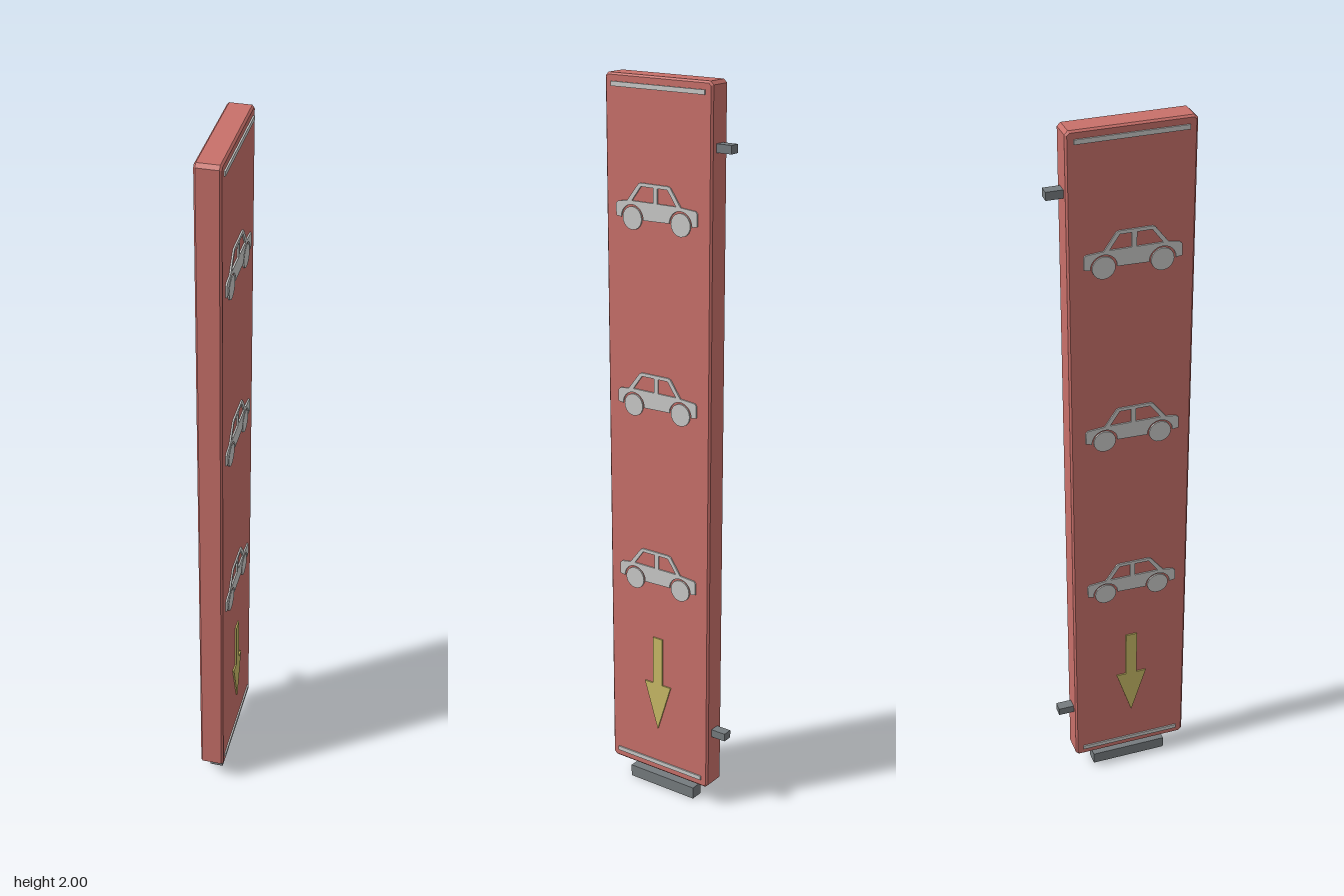
import * as THREE from 'three';

const mat = (name, color) => {
  const m = new THREE.MeshStandardMaterial({ color });
  m.name = name;
  return m;
};

const polygon = (pts, Type = THREE.Shape) => new Type(pts.map(([z, y]) => new THREE.Vector2(z, y)));

// Extrude a (z, y) outline symmetrically along x
function slab(shape, depth, options = {}) {
  const g = new THREE.ExtrudeGeometry(shape, { depth, bevelEnabled: false, curveSegments: 10, ...options });
  return g.translate(0, 0, -depth / 2).rotateY(-Math.PI / 2);
}

export function createModel() {
  const red = mat('signRed', 0xc8706a);
  const white = mat('markingWhite', 0xcacac8);
  const yellow = mat('arrowYellow', 0xc8ba66);
  const grey = mat('metalGrey', 0x757b7e);

  const model = new THREE.Group();
  model.name = 'parkingSign';
  const add = (name, geometry, material, x = 0, y = 0, z = 0, parent = model) => {
    const mesh = new THREE.Mesh(geometry, material);
    mesh.name = name;
    mesh.position.set(x, y, z);
    parent.add(mesh);
    return mesh;
  };

  // Chamfered sign case
  const mid = 0.02, c = 0.006, w = 0.16, h = 0.965;
  const outline = polygon([
    [-w + c, -h], [w - c, -h], [w, -h + c], [w, h - c],
    [w - c, h], [-w + c, h], [-w, h - c], [-w, -h + c],
  ]);
  const caseGeo = slab(outline, 0.056, {
    bevelEnabled: true, bevelSize: 0.005, bevelThickness: 0.005, bevelSegments: 1,
  });
  add('signCase', caseGeo, red, 0, 1.03, mid);

  // Car outline with wheel arches and window openings, centred on z, wheels at y = 0.03
  const car = new THREE.Shape();
  car.moveTo(-0.127, 0.032);
  car.lineTo(-0.111, 0.028);
  car.absarc(-0.076, 0.03, 0.035, Math.PI, 0, true);
  car.lineTo(0.041, 0.028);
  car.absarc(0.076, 0.03, 0.035, Math.PI, 0, true);
  car.lineTo(0.127, 0.032);
  [[0.127, 0.064], [0.12, 0.07], [0.092, 0.074], [0.056, 0.12], [0.05, 0.123],
    [-0.036, 0.123], [-0.044, 0.12], [-0.076, 0.074], [-0.122, 0.07], [-0.127, 0.064],
  ].forEach(([z, y]) => car.lineTo(z, y));
  car.closePath();
  car.holes.push(
    polygon([[0.009, 0.075], [0.009, 0.114], [0.048, 0.114], [0.077, 0.075]], THREE.Path),
    polygon([[-0.004, 0.075], [-0.062, 0.075], [-0.035, 0.114], [-0.004, 0.114]], THREE.Path),
  );
  const plate = 0.005;
  const carGeo = slab(car, plate);
  const wheelGeo = new THREE.CylinderGeometry(0.03, 0.03, plate, 20).rotateZ(Math.PI / 2);

  // Downward arrow
  const arrowGeo = slab(polygon([
    [-0.016, 0.476], [-0.016, 0.335], [-0.044, 0.335], [0, 0.196],
    [0.044, 0.335], [0.016, 0.335], [0.016, 0.476],
  ]), plate);
  const stripeGeo = new THREE.BoxGeometry(plate, 0.012, 0.288);

  // Markings on both broad faces
  for (const side of [1, -1]) {
    const x = side * 0.0345;
    for (const y of [0.61, 1.11, 1.61]) {
      const group = new THREE.Group();
      group.name = 'carSymbol';
      group.position.set(x, y, 0.023);
      model.add(group);
      add('carBody', carGeo, white, 0, 0, 0, group);
      for (const z of [-0.076, 0.076]) add('carWheel', wheelGeo, white, 0, 0.03, z, group);
    }
    add('arrow', arrowGeo, yellow, x, 0, 0.023);
    for (const y of [0.087, 1.973]) add('stripe', stripeGeo, white, x, y, mid);
  }

  // Rear wall brackets
  for (const y of [0.226, 1.838]) {
    add('wallBracket', new THREE.BoxGeometry(0.028, 0.022, 0.05), grey, 0, y, -0.164);
  }

  // Bar below the case
  add('lowerBar', new THREE.BoxGeometry(0.038, 0.034, 0.218), grey, 0, 0.017, 0.022);

  return model;
}
